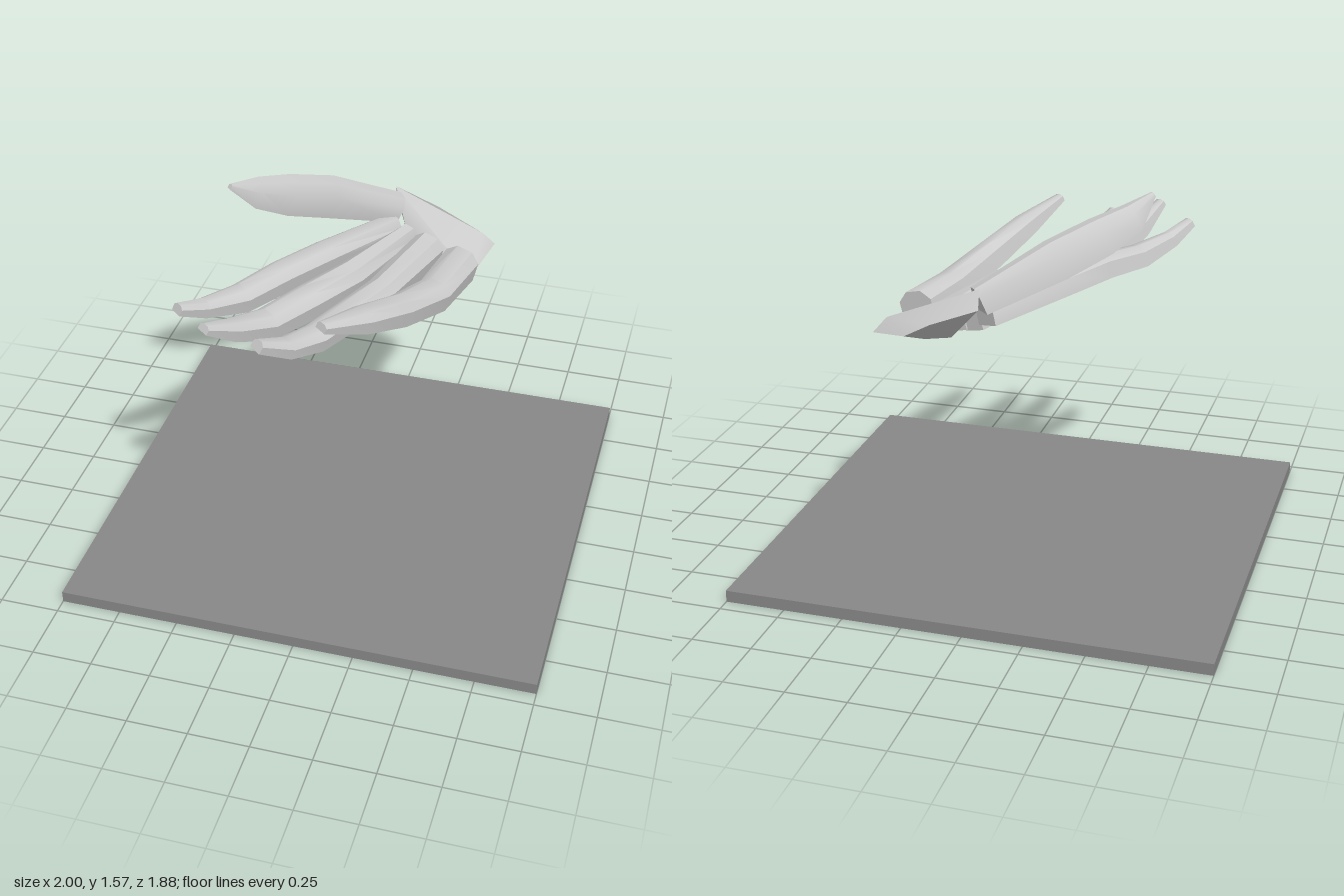
import * as THREE from 'three';
import { toCreasedNormals } from 'three/addons/utils/BufferGeometryUtils.js';
import { ConvexGeometry } from 'three/addons/geometries/ConvexGeometry.js';

// Cross-section of a digit, in units of half width and half height
const SECTION = [[1, -0.8], [1, 0.45], [0.45, 1], [-0.45, 1], [-1, 0.45], [-1, -0.8]];

// Each station is [x, y, z, halfWidth, halfHeight]
function loft(stations, up) {
  const n = SECTION.length, pos = [], index = [];
  const centres = stations.map(s => new THREE.Vector3(s[0], s[1], s[2]));
  stations.forEach((s, i) => {
    const t = centres[Math.min(i + 1, centres.length - 1)].clone()
      .sub(centres[Math.max(i - 1, 0)]).normalize();
    const side = up.clone().cross(t).normalize();
    const top = t.clone().cross(side);
    for (const [a, b] of SECTION) {
      const p = centres[i].clone().addScaledVector(side, a * s[3]).addScaledVector(top, b * s[4]);
      pos.push(p.x, p.y, p.z);
    }
  });
  const last = (stations.length - 1) * n;
  for (let i = 0; i < last; i += n) {
    for (let j = 0; j < n; j++) {
      const a = i + j, b = i + (j + 1) % n;
      index.push(a, b, b + n, a, b + n, a + n);
    }
  }
  // End caps
  for (let j = 1; j < n - 1; j++) {
    index.push(0, j + 1, j, last, last + j, last + j + 1);
  }
  const g = new THREE.BufferGeometry();
  g.setAttribute('position', new THREE.Float32BufferAttribute(pos, 3));
  g.setIndex(index);
  return toCreasedNormals(g, 0.75);
}

export function createModel() {
  const model = new THREE.Group();
  const light = new THREE.MeshStandardMaterial({ color: 0xcccccc });
  const dark = new THREE.MeshStandardMaterial({ color: 0x888888 });
  const add = (name, geometry, material, parent) => {
    const mesh = new THREE.Mesh(geometry, material);
    mesh.name = name;
    parent.add(mesh);
  };

  // Ground slab
  const slab = new THREE.BoxGeometry(2, 0.05, 1.88);
  slab.translate(0, 0.025, 0);
  add('basePlate', slab, dark, model);

  // Floating hand
  const hand = new THREE.Group();
  hand.name = 'hand';
  model.add(hand);

  const digits = {
    indexFinger: [[0.04, 1.17, -0.47, 0.05, 0.055], [-0.16, 1.2, -0.12, 0.06, 0.055],
      [-0.28, 1.215, 0.1, 0.06, 0.055], [-0.39, 1.21, 0.29, 0.055, 0.05],
      [-0.49, 1.245, 0.45, 0.037, 0.035], [-0.555, 1.295, 0.56, 0.025, 0.022]],
    middleFinger: [[0.11, 1.14, -0.43, 0.045, 0.07], [-0.03, 1.165, -0.03, 0.065, 0.065],
      [-0.14, 1.175, 0.19, 0.065, 0.06], [-0.25, 1.18, 0.4, 0.06, 0.055],
      [-0.33, 1.25, 0.57, 0.045, 0.04], [-0.393, 1.33, 0.71, 0.025, 0.018]],
    ringFinger: [[0.21, 1.12, -0.41, 0.07, 0.07], [0.11, 1.135, 0, 0.06, 0.06],
      [-0.05, 1.15, 0.4, 0.055, 0.045], [-0.12, 1.19, 0.55, 0.045, 0.035],
      [-0.19, 1.275, 0.69, 0.027, 0.025]],
    littleFinger: [[0.37, 1.12, -0.34, 0.075, 0.07], [0.32, 1.13, -0.06, 0.07, 0.06],
      [0.235, 1.19, 0.18, 0.06, 0.058], [0.14, 1.27, 0.4, 0.055, 0.045],
      [0.038, 1.345, 0.605, 0.025, 0.018]],
    thumb: [[0.05, 1.24, -0.52, 0.05, 0.06], [-0.2, 1.365, -0.32, 0.065, 0.085],
      [-0.34, 1.43, -0.18, 0.065, 0.08], [-0.44, 1.485, -0.07, 0.05, 0.06],
      [-0.505, 1.56, 0.04, 0.01, 0.012]],
  };
  const up = new THREE.Vector3(0.25, 1, 0);
  for (const [name, stations] of Object.entries(digits)) {
    add(name, loft(stations, up), light, hand);
  }

  // Faceted wrist cap joining the digits
  const wristPoints = [
    [0.03, 1.31, -0.57], [0.02, 1.24, -0.62], [0.1, 1.17, -0.47], [0.2, 1.18, -0.665],
    [0.31, 1.12, -0.66], [0.47, 1.09, -0.575], [0.42, 1.15, -0.55], [0.41, 1.04, -0.36],
    [0.32, 1.01, -0.39], [0.2, 1.04, -0.42],
  ].map(p => new THREE.Vector3(...p));
  add('wrist', toCreasedNormals(new ConvexGeometry(wristPoints), 0.6), light, hand);

  return model;
}
